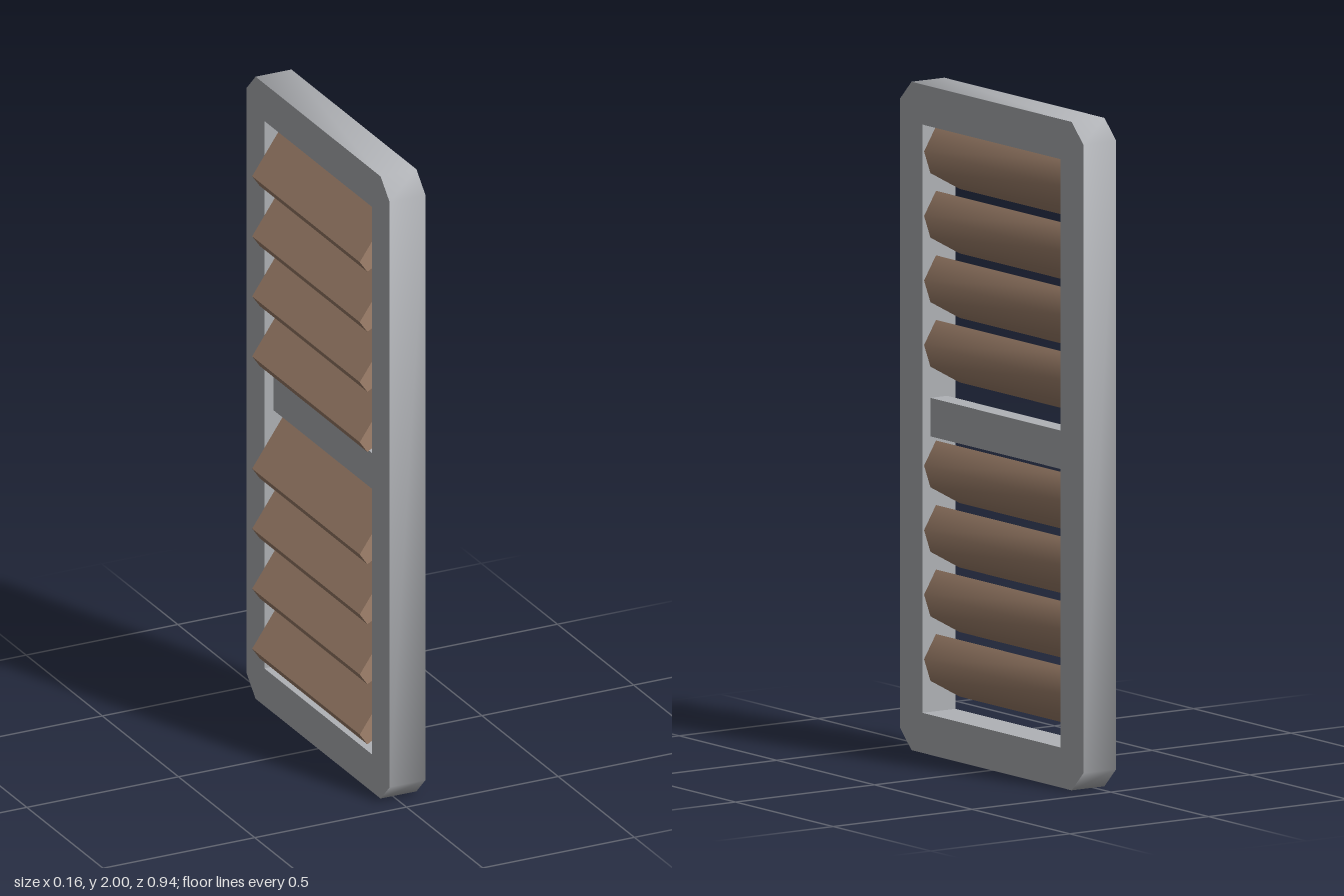
import * as THREE from 'three';
import { toCreasedNormals } from 'three/addons/utils/BufferGeometryUtils.js';

const OPENING = 0.353; // half width of the opening
const CREASE = Math.PI / 3;

const points = (list) => list.map(([x, y]) => new THREE.Vector2(x, y));

// Extrude a flat outline, smoothing shallow corners and keeping sharp ones
function extrude(shape, depth) {
  const geometry = new THREE.ExtrudeGeometry(shape, { depth, bevelEnabled: false });
  return toCreasedNormals(geometry, CREASE);
}

export function createModel() {
  const model = new THREE.Group();
  model.name = 'louvredShutter';
  const grey = new THREE.MeshStandardMaterial({ name: 'frame grey', color: 0xb0b2b6 });
  const brown = new THREE.MeshStandardMaterial({ name: 'slat brown', color: 0xa3846e });

  function add(name, geometry, material) {
    const mesh = new THREE.Mesh(geometry, material);
    mesh.name = name;
    model.add(mesh);
    return mesh;
  }

  // Outer frame with chamfered corners and one tall opening
  const outline = new THREE.Shape(points([
    [-0.41, 0], [0.41, 0], [0.47, 0.06], [0.47, 1.94],
    [0.41, 2], [-0.41, 2], [-0.47, 1.94], [-0.47, 0.06],
  ]));
  outline.holes.push(new THREE.Path(points([
    [-OPENING, 0.12], [-OPENING, 1.88], [OPENING, 1.88], [OPENING, 0.12],
  ])));
  const frame = extrude(outline, 0.118);
  frame.rotateY(Math.PI / 2);
  frame.translate(-0.04, 0, 0);
  add('frame', frame, grey);

  // Middle rail, thinner than the frame
  const rail = add('middleRail', new THREE.BoxGeometry(0.06, 0.115, OPENING * 2), grey);
  rail.position.set(0.02, 1.002, 0);

  // Slanted slat with a rounded inner edge; y is measured from its lowest point
  const profile = new THREE.Shape(points([
    [-0.055, 0], [0.05, 0.058], [0.073, 0.125], [0.03, 0.196], [-0.08, 0.036],
  ]));
  const slat = extrude(profile, OPENING * 2);
  slat.translate(0, 0, -OPENING);

  // Four slats in each half of the opening
  for (const base of [0.155, 1.095]) {
    for (let i = 0; i < 4; i++) {
      add('slat', slat, brown).position.y = base + i * 0.193;
    }
  }
  return model;
}
